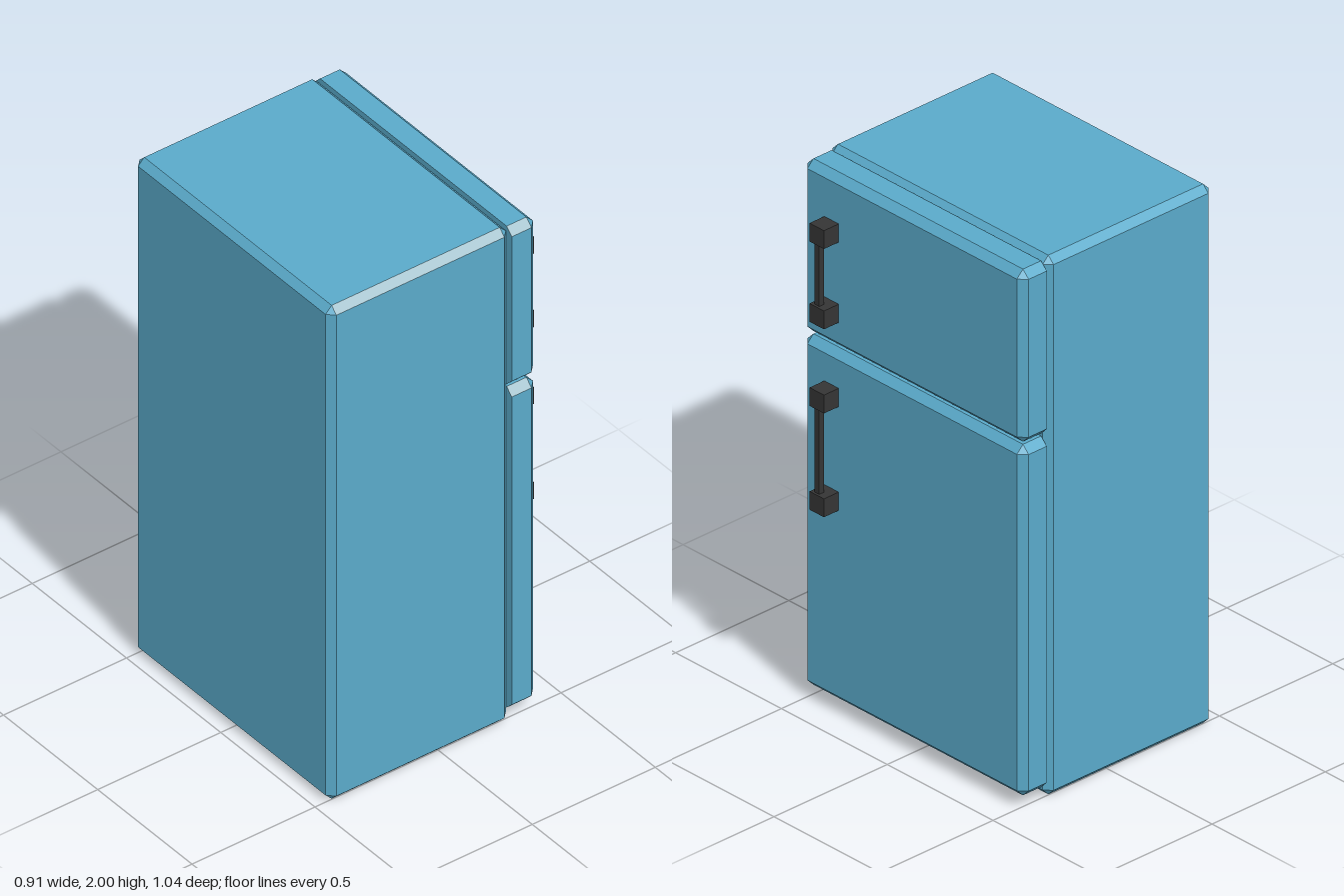
import * as THREE from 'three';
import { ConvexGeometry } from 'three/addons/geometries/ConvexGeometry.js';

const material = (name, color) => {
  const m = new THREE.MeshStandardMaterial({ color });
  m.name = name;
  return m;
};

// Box with bevelled edges; the -x face stays square where openBack is set.
// The bevel between the top and the +z side is the second material group.
function bevelledBox([x0, x1], [y0, y1], [z0, z1], c, openBack = false) {
  const points = [];
  for (const [x, sx] of [[x0, 1], [x1, -1]])
    for (const [y, sy] of [[y0, 1], [y1, -1]])
      for (const [z, sz] of [[z0, 1], [z1, -1]]) {
        const flat = openBack && sx > 0;
        const xi = flat ? x : x + sx * c;
        points.push(new THREE.Vector3(xi, y, z + sz * c));
        points.push(new THREE.Vector3(xi, y + sy * c, z));
        if (!flat) points.push(new THREE.Vector3(x, y + sy * c, z + sz * c));
      }
  const geometry = new ConvexGeometry(points);
  const n = geometry.attributes.normal;
  for (let i = 0; i < n.count; i += 3) {
    const pale = n.getY(i) > 0.6 && n.getZ(i) > 0.6;
    geometry.addGroup(i, 3, pale ? 1 : 0);
  }
  return geometry;
}

export function createModel() {
  const group = new THREE.Group();
  group.name = 'refrigerator';
  const blue = material('blue enamel', 0x5aaaca);
  const pale = material('pale edge', 0x9cbcc6);
  const dark = material('dark handle', 0x353535);
  const black = material('black seal', 0x0c0c0c);

  const add = (parent, name, geometry, mat) => {
    const mesh = new THREE.Mesh(geometry, mat);
    mesh.name = name;
    parent.add(mesh);
    return mesh;
  };
  const box = (parent, name, [x0, x1], [y0, y1], [z0, z1], mat) =>
    add(parent, name, new THREE.BoxGeometry(x1 - x0, y1 - y0, z1 - z0), mat)
      .position.set((x0 + x1) / 2, (y0 + y1) / 2, (z0 + z1) / 2);

  // Cabinet
  const depth = [-0.522, 0.522];
  add(group, 'cabinet', bevelledBox([-0.455, 0.278], [0, 2], depth, 0.025), [blue, pale]);

  // Doors, each with a seal behind it and a handle on its face
  const doors = [
    { name: 'freezerDoor', y: [1.35, 1.99], grips: [1.487, 1.785] },
    { name: 'fridgeDoor', y: [0.038, 1.34], grips: [0.79, 1.175] },
  ];
  for (const { name, y, grips } of doors) {
    const door = new THREE.Group();
    door.name = name;
    group.add(door);
    add(door, name + 'Panel', bevelledBox([0.283, 0.39], y, depth, 0.027, true), [blue, pale]);
    box(door, 'seal', [0.27, 0.286], [y[0] + 0.03, y[1] - 0.03], [-0.477, 0.472], black);
    for (const g of grips)
      box(door, 'handleMount', [0.388, 0.455], [g - 0.034, g + 0.034], [0.347, 0.415], dark);
    box(door, 'handleBar', [0.424, 0.446], grips, [0.379, 0.401], dark);
  }
  return group;
}
